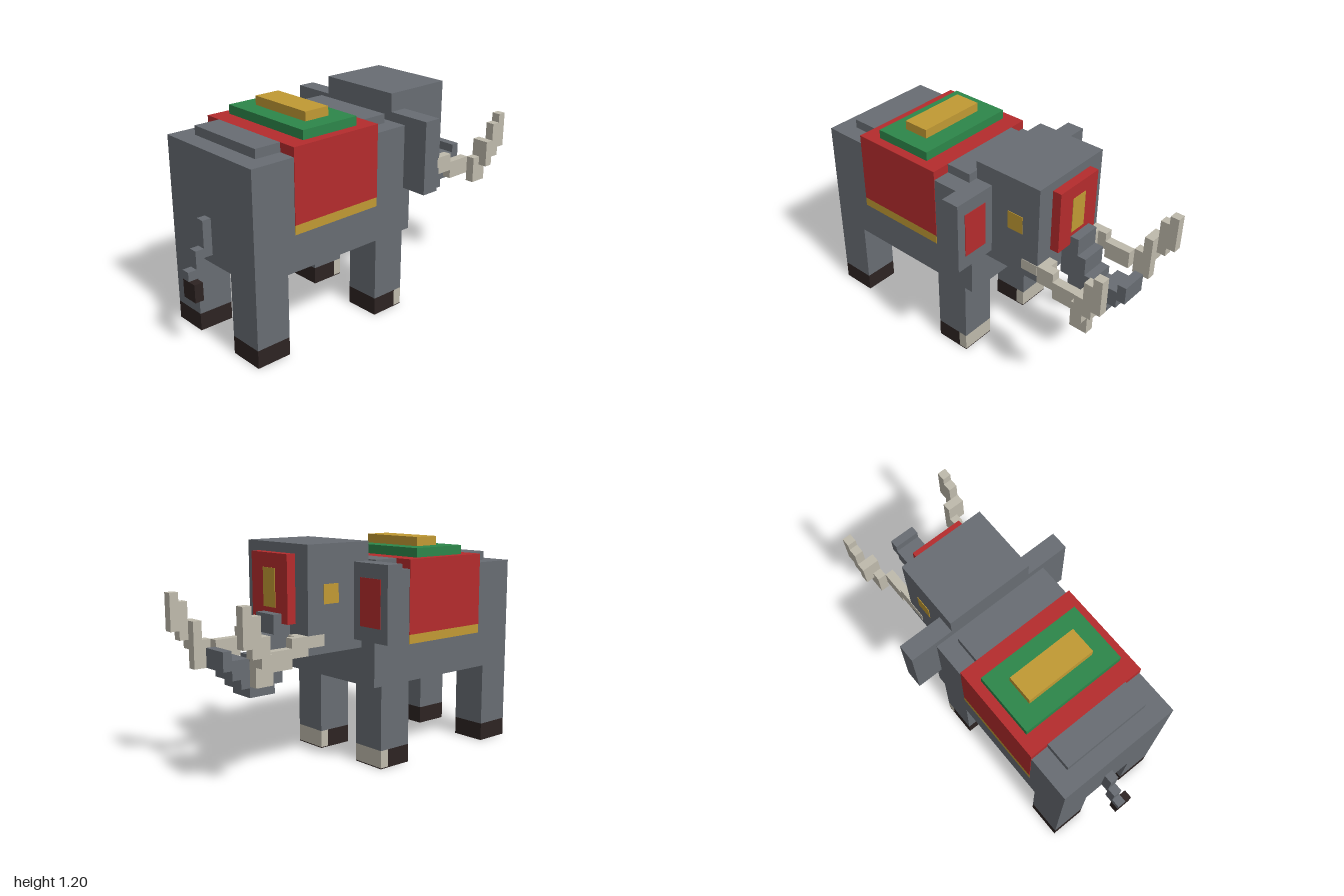
import * as THREE from 'three';

const mat = (name, color) => {
  const m = new THREE.MeshStandardMaterial({ color });
  m.name = name;
  return m;
};

export function createModel() {
  const grey = mat('hide grey', 0x686d73);
  const red = mat('cloth red', 0xb52c2d);
  const gold = mat('gold', 0xc19a34);
  const green = mat('saddle green', 0x2d874a);
  const ivory = mat('ivory', 0xbfbaac);
  const dark = mat('hoof dark', 0x2d2322);

  const model = new THREE.Group();
  model.name = 'elephant';
  const group = (name) => {
    const g = new THREE.Group();
    g.name = name;
    model.add(g);
    return g;
  };

  // Box from its limits on each axis
  const box = (parent, name, m, [x0, x1], [y0, y1], [z0, z1]) => {
    const mesh = new THREE.Mesh(new THREE.BoxGeometry(Math.abs(x1 - x0), y1 - y0, z1 - z0), m);
    mesh.position.set((x0 + x1) / 2, (y0 + y1) / 2, (z0 + z1) / 2);
    mesh.name = name;
    parent.add(mesh);
  };
  const T = 0.003; // thickness of painted plates

  // Body with raised back
  const body = group('body');
  box(body, 'torso', grey, [-0.35, 0.35], [0.45, 1.05], [-0.2, 0.85]);
  box(body, 'frontBack', grey, [-0.25, 0.25], [1.05, 1.1], [-0.1, 0.05]);
  box(body, 'rearBack', grey, [-0.25, 0.25], [1.05, 1.1], [0.6, 0.75]);

  // Blanket and stepped saddle
  const saddle = group('saddle');
  box(saddle, 'blanketTop', red, [-0.35, 0.35], [1.05, 1.1], [0.05, 0.6]);
  box(saddle, 'saddlePad', green, [-0.3, 0.3], [1.1, 1.15], [0.15, 0.5]);
  box(saddle, 'saddleSeat', gold, [-0.2, 0.2], [1.15, 1.2], [0.25, 0.4]);

  // Head with decorated forehead plate
  const head = group('head');
  box(head, 'skull', grey, [-0.25, 0.25], [0.65, 1.2], [-0.55, -0.15]);
  box(head, 'foreheadPlate', red, [-0.15, 0.15], [0.8, 1.15], [-0.6, -0.55]);
  box(head, 'foreheadJewel', gold, [-0.05, 0.05], [0.875, 1.075], [-0.6 - T, -0.6]);

  // Trunk slices from root to tip: z start, depth, bottom, top
  const trunk = group('trunk');
  [
    [-0.6, 0.05, 0.6, 0.8],
    [-0.65, 0.05, 0.5, 0.85],
    [-0.7, 0.05, 0.45, 0.75],
    [-0.75, 0.05, 0.45, 0.65],
    [-0.8, 0.05, 0.45, 0.6],
    [-0.85, 0.05, 0.5, 0.65],
    [-0.9, 0.05, 0.55, 0.65],
    [-0.95, 0.05, 0.6, 0.7],
  ].forEach(([z, d, y0, y1]) => box(trunk, 'trunkSlice', grey, [-0.1, 0.05], [y0, y1], [z, z + d]));

  // Tail with tuft
  const tail = group('tail');
  box(tail, 'tailRoot', grey, [-0.05, 0], [0.5, 0.7], [0.85, 0.9]);
  box(tail, 'tailMiddle', grey, [-0.05, 0], [0.4, 0.55], [0.9, 0.95]);
  box(tail, 'tailEnd', grey, [-0.05, 0], [0.4, 0.45], [0.95, 1]);
  box(tail, 'tailTuft', dark, [-0.05, 0.05], [0.3, 0.4], [0.95, 1]);

  // Paired parts
  for (const s of [1, -1]) {
    const side = s > 0 ? 'left' : 'right';
    const span = (a, b) => [s * a, s * b];

    // Blanket sides and hem
    box(saddle, side + 'BlanketSide', red, span(0.35, 0.35 + T), [0.7, 1.1], [0.05, 0.6]);
    box(saddle, side + 'BlanketHem', gold, span(0.35, 0.35 + T), [0.65, 0.7], [0.05, 0.6]);

    // Eye and ear
    box(head, side + 'Eye', gold, span(0.25, 0.25 + T), [0.9, 1], [-0.45, -0.355]);
    box(head, side + 'Ear', grey, span(0.25, 0.5), [0.7, 1.1], [-0.25, -0.15]);
    box(head, side + 'EarPatch', red, span(0.3, 0.45), [0.775, 1.025], [-0.25 - T, -0.25]);

    // Tusk steps, outwards and upwards
    const tusk = group(side + 'Tusk');
    box(tusk, 'tuskRootPatch', ivory, span(0.25, 0.25 + T), [0.69, 0.75], [-0.55, -0.45]);
    [
      [0.15, 0.25, 0.65, 0.75, -0.6, -0.55],
      [0.2, 0.25, 0.65, 0.75, -0.65, -0.6],
      [0.2, 0.25, 0.6, 0.7, -0.8, -0.65],
      [0.25, 0.3, 0.55, 0.7, -0.85, -0.8],
      [0.25, 0.3, 0.55, 0.8, -0.9, -0.85],
      [0.3, 0.35, 0.65, 0.8, -0.9, -0.85],
      [0.3, 0.35, 0.7, 0.9, -0.95, -0.9],
      [0.3, 0.35, 0.75, 0.95, -1, -0.95],
    ].forEach(([x0, x1, y0, y1, z0, z1]) => box(tusk, 'tuskStep', ivory, span(x0, x1), [y0, y1], [z0, z1]));

    // Legs, with pale toes on the front feet
    const legs = group(side + 'Legs');
    const x = span(0.15, 0.35);
    box(legs, 'frontLeg', grey, x, [0.1, 0.45], [-0.15, 0.05]);
    box(legs, 'frontFoot', dark, x, [0.005, 0.1], [-0.1, 0.05]);
    box(legs, 'frontToes', ivory, x, [0.005, 0.1], [-0.15, -0.1]);
    box(legs, 'frontSole', dark, x, [0, 0.005], [-0.15, 0.05]);
    box(legs, 'rearLeg', grey, x, [0.1, 0.45], [0.65, 0.85]);
    box(legs, 'rearFoot', dark, x, [0, 0.1], [0.65, 0.85]);
  }
  return model;
}
